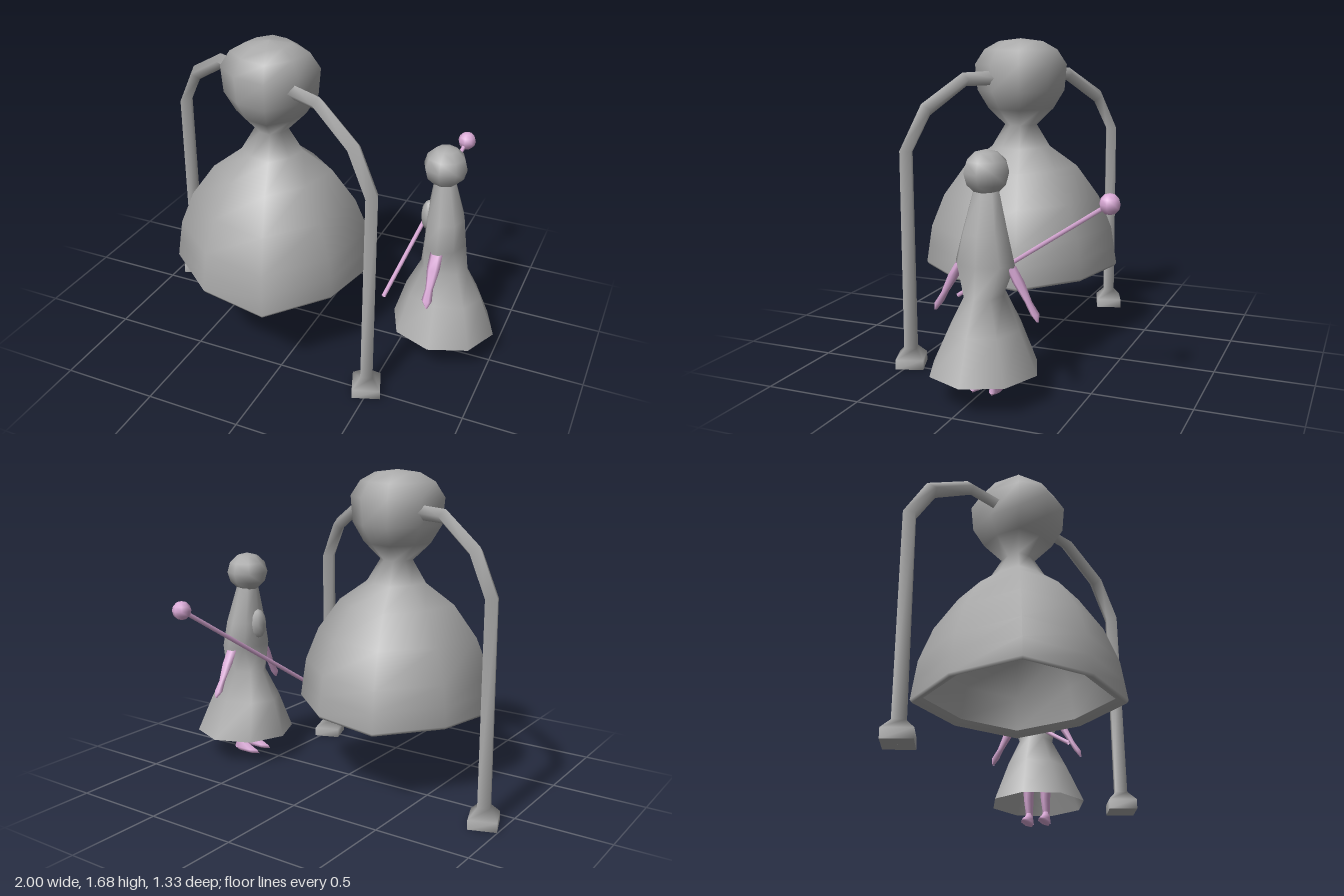
import * as THREE from 'three';

const grey = new THREE.MeshStandardMaterial({ color: 0xaaaaaa, side: THREE.DoubleSide });
grey.name = 'stone grey';
const pink = new THREE.MeshStandardMaterial({ color: 0xd9a9d6, side: THREE.DoubleSide });
pink.name = 'soft pink';

// Smooth skin over a list of closed rings; repeating a ring makes a sharp edge
function skin(rings) {
  const n = rings[0].length, index = [];
  for (let i = 0; i < rings.length - 1; i++) {
    for (let j = 0; j < n; j++) {
      const a = i * n + j, b = i * n + (j + 1) % n;
      index.push(a, a + n, b, a + n, b + n, b);
    }
  }
  const geometry = new THREE.BufferGeometry().setFromPoints(rings.flat());
  geometry.setIndex(index);
  geometry.computeVertexNormals();
  return geometry;
}

// Stack of horizontal ellipses: [y, x, z, radiusX, radiusZ]
function loft(sections, sides, turn = 0, inset = 1) {
  return skin(sections.map(([y, x, z, rx, rz]) => Array.from({ length: sides }, (_, j) => {
    const a = turn + j / sides * Math.PI * 2, k = j % 2 ? inset : 1;
    return new THREE.Vector3(x + rx * k * Math.cos(a), y, z + rz * k * Math.sin(a));
  })));
}

function add(parent, name, geometry, material, x = 0, y = 0, z = 0) {
  const mesh = new THREE.Mesh(geometry, material);
  mesh.name = name;
  mesh.position.set(x, y, z);
  parent.add(mesh);
  return mesh;
}

function createBell() {
  const bell = new THREE.Group();
  bell.name = 'bell';
  // From the inner crown down to the rim, then up the outside to the knob
  const profile = [
    [1.0, 0.001], [0.94, 0.2], [0.78, 0.36], [0.6, 0.44], [0.43, 0.475], [0.43, 0.475],
    [0.405, 0.53], [0.42, 0.54], [0.52, 0.525], [0.63, 0.508], [0.81, 0.435], [0.98, 0.312],
    [1.09, 0.16], [1.21, 0.088], [1.3, 0.18], [1.4, 0.24], [1.54, 0.252], [1.62, 0.2],
    [1.665, 0.12], [1.68, 0.001],
  ];
  const sections = profile.map(([y, r]) => [y, 0, 0, r, r]);
  add(bell, 'bellBody', loft(sections, 8, -0.34, 0.88), grey, -0.2, 0, 0.153);
  return bell;
}

// Diamond-section post with a flared foot, bending inward to the bell's knob
function postGeometry() {
  const path = [
    [0.767, 0, 0.001], [0.767, 0, 0.102], [0.767, 0, 0.102], [0.767, 0.05, 0.102],
    [0.767, 0.1, 0.044], [0.767, 1.13, 0.041], [0.64, 1.33, 0.041], [0.385, 1.472, 0.038],
    [0.2, 1.472, 0.038], [0.2, 1.472, 0.038], [0.2, 1.472, 0.001],
  ];
  return skin(path.map(([d, y, r], i) => {
    // Tangent from the neighbouring path points; straight up in the foot
    const p = path[Math.max(i - 1, 0)], q = path[Math.min(i + 1, path.length - 1)];
    const t = i < 5 ? new THREE.Vector2(0, 1) : i > 7 ? new THREE.Vector2(-1, 0)
      : new THREE.Vector2(q[0] - p[0], q[1] - p[1]).normalize();
    return Array.from({ length: 4 }, (_, j) => {
      const c = r * Math.cos(j * Math.PI / 2), s = r * Math.sin(j * Math.PI / 2);
      return new THREE.Vector3(d + c * t.y, y - c * t.x, s);
    });
  }));
}

function createFigure() {
  const figure = new THREE.Group();
  figure.name = 'figure';
  const mid = -0.035;
  // Dress, open at the hem
  add(figure, 'dress', loft([
    [0.145, 0.72, mid, 0.28, 0.27], [0.35, 0.71, mid, 0.208, 0.177],
    [0.51, 0.705, mid, 0.127, 0.095], [0.66, 0.7, mid, 0.11, 0.152],
    [0.8, 0.695, mid, 0.1, 0.117], [1.0, 0.678, mid, 0.057, 0.065],
  ], 8), grey);
  add(figure, 'head', new THREE.SphereGeometry(0.113, 8, 6), grey, 0.675, 1.085, mid).scale.y = 0.96;
  add(figure, 'chest', new THREE.SphereGeometry(1, 8, 6), grey, 0.605, 0.79, mid).scale.set(0.042, 0.085, 0.05);

  for (const s of [-1, 1]) {
    const side = s > 0 ? 'front' : 'back';
    // Bare forearm ending in a tapered hand
    add(figure, side + 'Arm', loft([
      [0.4, 0.7, mid + s * 0.265, 0.006, 0.006], [0.435, 0.695, mid + s * 0.25, 0.027, 0.02],
      [0.49, 0.695, mid + s * 0.217, 0.02, 0.017], [0.58, 0.695, mid + s * 0.168, 0.034, 0.026],
      [0.65, 0.695, mid + s * 0.13, 0.033, 0.022],
    ], 6), pink);
    // Leg and pointed foot
    const z = mid + s * 0.05;
    add(figure, side + 'Leg', loft([
      [0.035, 0.725, z, 0.036, 0.02], [0.08, 0.715, z, 0.03, 0.018],
      [0.16, 0.705, z, 0.045, 0.024], [0.4, 0.7, z, 0.055, 0.04],
    ], 6), pink);
    const foot = loft([
      [0.025, 0.665, z, 0.001, 0.001], [0.025, 0.665, z, 0.09, 0.024], [0.04, 0.675, z, 0.085, 0.024],
      [0.07, 0.705, z, 0.045, 0.02], [0.1, 0.715, z, 0.025, 0.016],
    ], 6);
    add(figure, side + 'Foot', foot, pink);
  }
  return figure;
}

function createMallet() {
  const mallet = new THREE.Group();
  mallet.name = 'mallet';
  const a = new THREE.Vector3(0.465, 0.405, 0.225), b = new THREE.Vector3(0.625, 0.968, -0.617);
  add(mallet, 'malletHandle', new THREE.TubeGeometry(new THREE.LineCurve3(a, b), 1, 0.012, 6), pink);
  add(mallet, 'malletHead', new THREE.SphereGeometry(0.05, 8, 6), pink, b.x, b.y, b.z);
  return mallet;
}

export function createModel() {
  const model = new THREE.Group();
  model.name = 'bellAndRinger';
  model.add(createBell());
  const geometry = postGeometry();
  for (const [name, turn] of [['leftPost', 0], ['rightPost', Math.PI]]) {
    add(model, name, geometry, grey, -0.21, 0, 0.17).rotation.y = turn - 0.437;
  }
  model.add(createFigure(), createMallet());
  return model;
}
